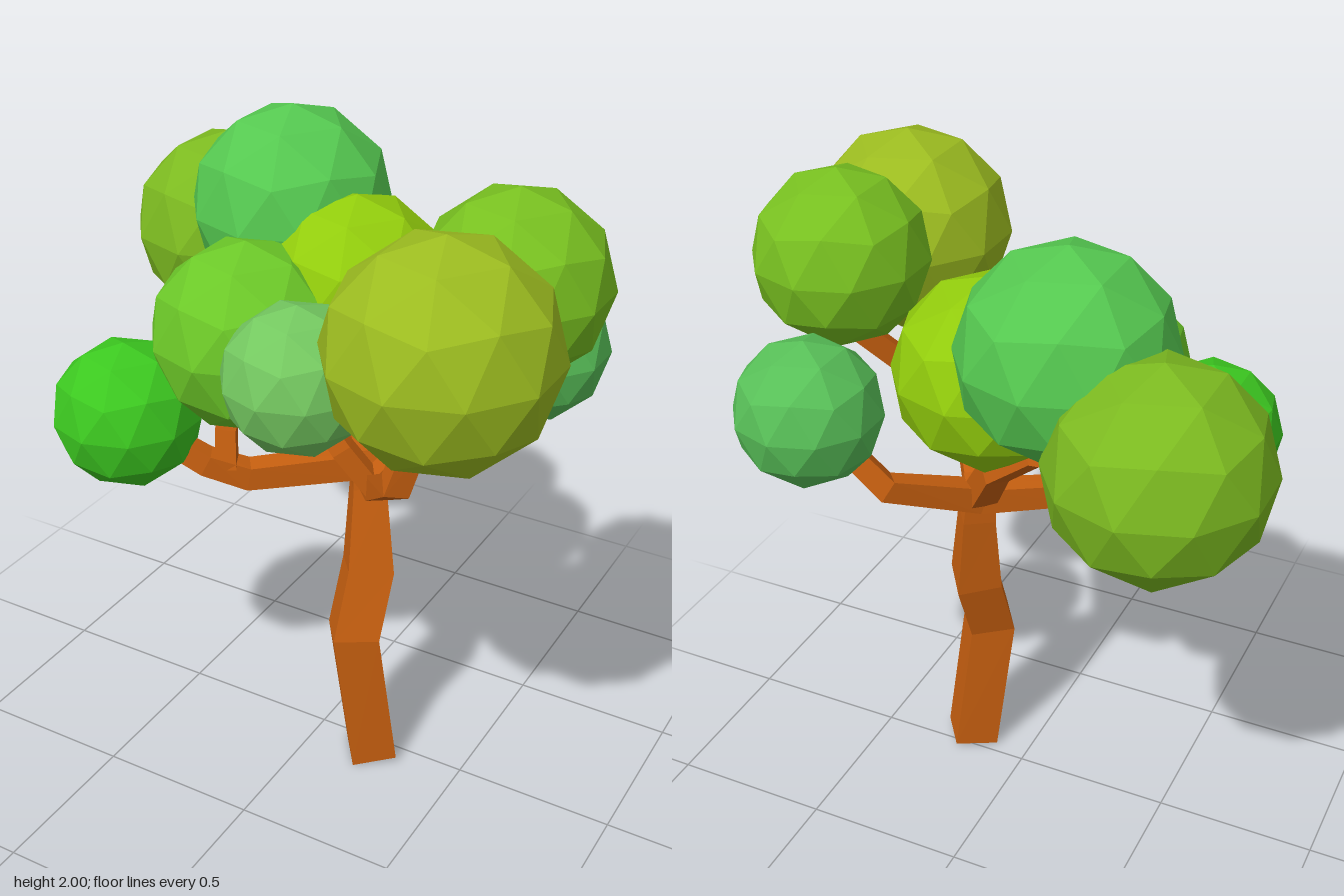
import * as THREE from 'three';

const V = (p) => new THREE.Vector3(...p);
const bark = new THREE.MeshStandardMaterial({ color: 0xc86010, flatShading: true });

// Square-section limb through points [x, y, z, cornerRadius], capped at both ends
function limb(name, nodes, firstCorner) {
  const pts = nodes.map(V);
  const up = new THREE.Vector3(0, 1, 0);
  const pos = [], idx = [];
  let corner = firstCorner && V(firstCorner);
  pts.forEach((p, i) => {
    const t = new THREE.Vector3();
    if (i > 0) t.add(p.clone().sub(pts[i - 1]).normalize());
    if (i < pts.length - 1) t.add(pts[i + 1].clone().sub(p).normalize());
    t.normalize();
    if (!corner) {
      // flat faces to the top and the sides
      const side = up.clone().cross(t).normalize();
      corner = t.clone().cross(side).add(side);
    }
    corner.addScaledVector(t, -corner.dot(t)).normalize();
    const other = t.clone().cross(corner);
    for (let k = 0; k < 4; k++) {
      const a = k * Math.PI / 2;
      const q = p.clone()
        .addScaledVector(corner, Math.cos(a) * nodes[i][3])
        .addScaledVector(other, Math.sin(a) * nodes[i][3]);
      pos.push(q.x, q.y, q.z);
      if (i > 0) {
        const n = (k + 1) % 4, lo = (i - 1) * 4, hi = i * 4;
        idx.push(lo + k, lo + n, hi + n, lo + k, hi + n, hi + k);
      }
    }
  });
  const e = (pts.length - 1) * 4;
  idx.push(0, 2, 1, 0, 3, 2, e, e + 1, e + 2, e, e + 2, e + 3);
  const g = new THREE.BufferGeometry();
  g.setAttribute('position', new THREE.Float32BufferAttribute(pos, 3));
  g.setIndex(idx);
  const flat = g.toNonIndexed();
  flat.computeVertexNormals();
  const mesh = new THREE.Mesh(flat, bark);
  mesh.name = name;
  return mesh;
}

export function createModel() {
  const tree = new THREE.Group();
  tree.name = 'tree';

  // Crooked trunk, its corners pointing along the axes
  tree.add(limb('trunk', [
    [0.207, 0.012, 0.053, 0.099], [0.158, 0.485, 0.092, 0.099],
    [0.168, 0.695, 0.022, 0.098], [0.143, 0.96, -0.015, 0.07], [0.13, 1.085, -0.02, 0.06],
  ], [0.0975, 0, 0.015]));

  // Branches, each fork starting at a knee of its parent
  const hub = [0.13, 1.03, -0.02, 0.058];
  const branches = {
    frontRightBranch: [hub, [-0.15, 1.01, 0.19, 0.052], [-0.25, 1.06, 0.26, 0.048], [-0.42, 1.17, 0.33, 0.042]],
    frontRightFork: [[-0.2, 1.04, 0.23, 0.045], [-0.21, 1.16, 0.21, 0.043], [-0.19, 1.32, 0.16, 0.04]],
    frontLeftBranch: [hub, [0.32, 1.14, 0.26, 0.05], [0.47, 1.29, 0.45, 0.048], [0.52, 1.46, 0.43, 0.045]],
    frontLeftFork: [[0.31, 1.15, 0.26, 0.047], [0.57, 1.5, 0.02, 0.045]],
    frontLeftTwig: [[0.31, 1.14, 0.26, 0.04], [0.23, 1.26, 0.3, 0.04], [0.15, 1.36, 0.31, 0.035]],
    backLeftBranch: [hub, [0.32, 1.14, -0.25, 0.05], [0.46, 1.3, -0.29, 0.045]],
    backRightBranch: [hub, [0.03, 1.2, -0.12, 0.052], [-0.14, 1.35, -0.2, 0.048], [-0.46, 1.46, -0.34, 0.045]],
    backRightFork: [[-0.38, 1.43, -0.3, 0.045], [-0.33, 1.6, -0.27, 0.04]],
    middleTwig: [[0.08, 1.12, -0.07, 0.045], [0.04, 1.36, -0.12, 0.04]],
  };
  for (const [name, nodes] of Object.entries(branches)) tree.add(limb(name, nodes));

  // Leaf balls: faceted spheres with a vertex straight up; [x, y, z, radius, color]
  const ball = new THREE.IcosahedronGeometry(1, 1).rotateZ(-Math.atan(2 / (1 + Math.sqrt(5))));
  const leaves = {
    farRightLeaves: [-0.572, 1.515, -0.403, 0.307, 0x7cba20],
    topLeaves: [-0.243, 1.695, -0.238, 0.307, 0x55c850],
    bigLeftLeaves: [0.56, 1.667, 0.392, 0.315, 0x9cbc20],
    leftLeaves: [0.585, 1.718, 0.015, 0.267, 0x78c020],
    middleLeaves: [0.035, 1.53, -0.125, 0.285, 0x92cc0c],
    frontLeaves: [-0.175, 1.44, 0.135, 0.285, 0x6cc828],
    smallFrontLeaves: [0.103, 1.452, 0.325, 0.216, 0x74c860],
    lowRightLeaves: [-0.46, 1.21, 0.347, 0.222, 0x3cc820],
    backLeaves: [0.522, 1.383, -0.317, 0.222, 0x58c058],
  };
  for (const [name, [x, y, z, r, color]] of Object.entries(leaves)) {
    const mesh = new THREE.Mesh(ball, new THREE.MeshStandardMaterial({ color, flatShading: true }));
    mesh.name = name;
    mesh.position.set(x, y, z);
    mesh.scale.setScalar(r);
    tree.add(mesh);
  }
  return tree;
}
